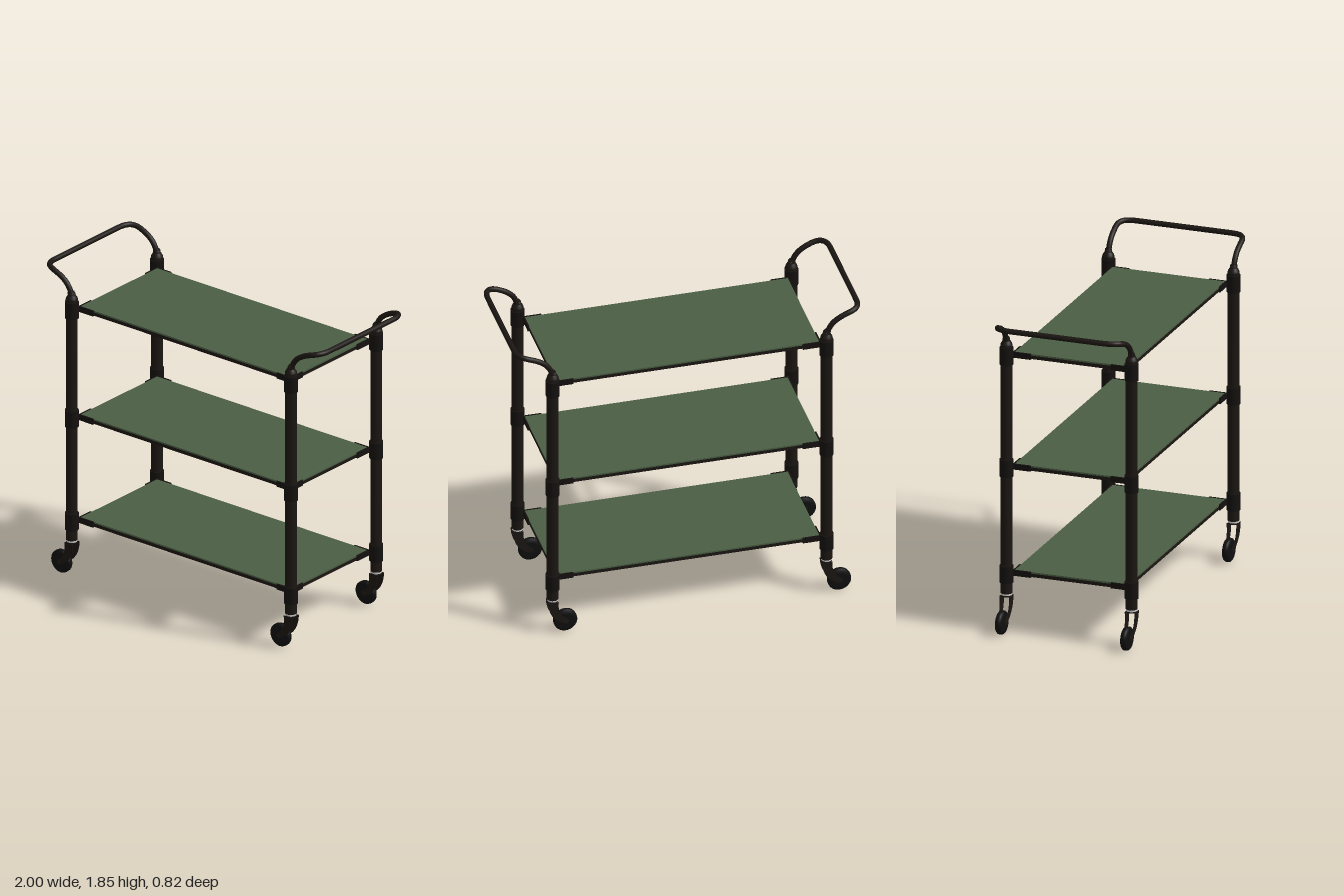
import * as THREE from 'three';

const mat = (color, side = THREE.FrontSide) => new THREE.MeshStandardMaterial({ color, side });
const frameMat = mat(0x1b1612);
const bracketMat = mat(0x14110f);
const wheelMat = mat(0x0f0f0f);
const panelMat = mat(0x4b5e44);
const ringMat = mat(0xcccccc);

const POST_X = 0.787, POST_Z = 0.372;
const PANEL_X = 0.756, PANEL_Z = 0.335;
const SHELVES = [0.332, 0.957, 1.615];

function add(parent, name, geometry, material, x = 0, y = 0, z = 0) {
  const mesh = new THREE.Mesh(geometry, material);
  mesh.name = name;
  mesh.position.set(x, y, z);
  parent.add(mesh);
  return mesh;
}

const box = (w, h, d) => new THREE.BoxGeometry(w, h, d);
const cyl = (r, h, r2 = r) => new THREE.CylinderGeometry(r, r2, h, 32);
const lathe = (pts) => new THREE.LatheGeometry(pts.map(([r, y]) => new THREE.Vector2(r, y)), 32);

// Upright post with a sleeve at every shelf and a stepped cap
function makePost() {
  const g = new THREE.Group();
  g.name = 'post';
  add(g, 'postTube', cyl(0.033, 1.44), frameMat, 0, 0.94, 0);
  for (const y of SHELVES) {
    add(g, 'shelfSleeve', lathe([[0.033, -0.051], [0.039, -0.05], [0.039, -0.05], [0.039, 0.049],
      [0.039, 0.049], [0.033, 0.05]]), bracketMat, 0, y, 0);
  }
  add(g, 'postCap', lathe([[0.034, 1.655], [0.034, 1.68], [0.034, 1.68], [0.031, 1.69],
    [0.021, 1.705], [0.021, 1.705], [0.019, 1.718], [0, 1.718]]), frameMat);
  return g;
}

// Thin curved fork cheek, drawn from the side and pinched in towards the axle
function forkCheek(side) {
  const s = new THREE.Shape();
  s.moveTo(-0.027, 0.205);
  s.lineTo(0.031, 0.205);
  s.bezierCurveTo(0.03, 0.13, 0.0, 0.085, -0.062, 0.056);
  s.absarc(-0.072, 0.07, 0.016, -0.9, -4.0, true);
  s.bezierCurveTo(-0.045, 0.1, -0.022, 0.135, -0.027, 0.205);
  const geo = new THREE.ExtrudeGeometry(s, { depth: 0.004, bevelEnabled: false, curveSegments: 14 });
  const p = geo.attributes.position;
  for (let i = 0; i < p.count; i++) {
    const t = THREE.MathUtils.clamp((p.getY(i) - 0.06) / 0.14, 0, 1);
    p.setZ(i, side * (0.023 + 0.006 * t) + p.getZ(i) - 0.002);
  }
  geo.computeVertexNormals();
  return geo;
}

function makeCaster() {
  const g = new THREE.Group();
  g.name = 'caster';
  add(g, 'casterRing', cyl(0.031, 0.012), ringMat, 0, 0.215, 0);
  add(g, 'casterPlate', cyl(0.031, 0.008), frameMat, 0, 0.205, 0);
  for (const side of [-1, 1]) add(g, 'forkCheek', forkCheek(side), frameMat);
  const tyre = lathe([[0, -0.02], [0.045, -0.02], [0.06, -0.018], [0.067, -0.011], [0.068, 0],
    [0.067, 0.011], [0.06, 0.018], [0.045, 0.02], [0, 0.02]]);
  add(g, 'wheel', tyre, wheelMat, -0.072, 0.068, 0).rotation.x = Math.PI / 2;
  add(g, 'axle', cyl(0.009, 0.056), frameMat, -0.072, 0.068, 0).rotation.x = Math.PI / 2;
  return g;
}

// Corner bracket: two lipped arms and a triangular plate; its corner is at +x +z
function makeBracket(sx, sz) {
  const g = new THREE.Group();
  g.name = 'cornerBracket';
  const L = 0.105, ox = PANEL_X + 0.008, oz = PANEL_Z + 0.008;
  add(g, 'armX', box(L, 0.022, 0.03), bracketMat, sx * (ox - L / 2), -0.006, sz * (oz - 0.015));
  add(g, 'armZ', box(0.03, 0.022, L), bracketMat, sx * (ox - 0.015), -0.006, sz * (oz - L / 2));
  add(g, 'lipX', box(L, 0.034, 0.008), bracketMat, sx * (ox - L / 2), 0, sz * (oz - 0.004));
  add(g, 'lipZ', box(0.008, 0.034, L), bracketMat, sx * (ox - 0.004), 0, sz * (oz - L / 2));
  const tri = new THREE.Shape([
    new THREE.Vector2(sx * ox, sz * oz),
    new THREE.Vector2(sx * (ox - 0.09), sz * oz),
    new THREE.Vector2(sx * ox, sz * (oz - 0.09)),
  ]);
  const plate = new THREE.ExtrudeGeometry(tri, { depth: 0.012, bevelEnabled: false });
  plate.rotateX(Math.PI / 2).translate(0, 0.002, 0);
  add(g, 'cornerPlate', plate, bracketMat);
  return g;
}

function makeShelf() {
  const g = new THREE.Group();
  g.name = 'shelf';
  add(g, 'panel', box(PANEL_X * 2, 0.009, PANEL_Z * 2), panelMat, 0, 0.0105, 0);
  for (const s of [-1, 1]) {
    add(g, 'longRail', box(PANEL_X * 2 - 0.01, 0.02, 0.022), frameMat, 0, -0.004, s * (PANEL_Z - 0.011));
    add(g, 'shortRail', box(0.022, 0.02, PANEL_Z * 2 - 0.01), frameMat, s * (PANEL_X - 0.011), -0.004, 0);
    for (const t of [-1, 1]) g.add(makeBracket(s, t));
  }
  return g;
}

// Push handle: rises from one post, sweeps outwards, crosses over and returns
function makeHandle(s) {
  const g = new THREE.Group();
  g.name = 'handle';
  const path = new THREE.CurvePath();
  const v = (x, y, z) => new THREE.Vector3(s * x, y, z);
  const half = (z) => [
    new THREE.CubicBezierCurve3(v(POST_X, 1.69, z), v(0.80, 1.76, z), v(0.84, 1.79, z), v(0.905, 1.816, z)),
    new THREE.CubicBezierCurve3(v(0.905, 1.816, z), v(0.955, 1.835, z),
      v(0.984, 1.833, z * 0.93), v(0.984, 1.833, z * 0.74)),
  ];
  const flip = (c) => new THREE.CubicBezierCurve3(c.v3, c.v2, c.v1, c.v0);
  const a = half(POST_Z), b = half(-POST_Z);
  a.forEach((c) => path.add(c));
  path.add(new THREE.LineCurve3(a[1].v3, b[1].v3));
  path.add(flip(b[1]));
  path.add(flip(b[0]));
  add(g, 'handleTube', new THREE.TubeGeometry(path, 160, 0.0155, 14, false), frameMat);
  // tilted socket where the tube enters each post
  for (const z of [-POST_Z, POST_Z]) {
    add(g, 'handleSocket', cyl(0.019, 0.03, 0.023), frameMat, s * (POST_X + 0.002), 1.708, z).rotation.z = -s * 0.25;
  }
  return g;
}

export function createModel() {
  const model = new THREE.Group();
  model.name = 'servingCart';
  for (const y of SHELVES) {
    const shelf = makeShelf();
    shelf.position.y = y;
    model.add(shelf);
  }
  for (const sx of [-1, 1]) {
    for (const sz of [-1, 1]) {
      for (const part of [makePost(), makeCaster()]) {
        part.position.set(sx * POST_X, 0, sz * POST_Z);
        model.add(part);
      }
    }
    model.add(makeHandle(sx));
  }
  return model;
}
